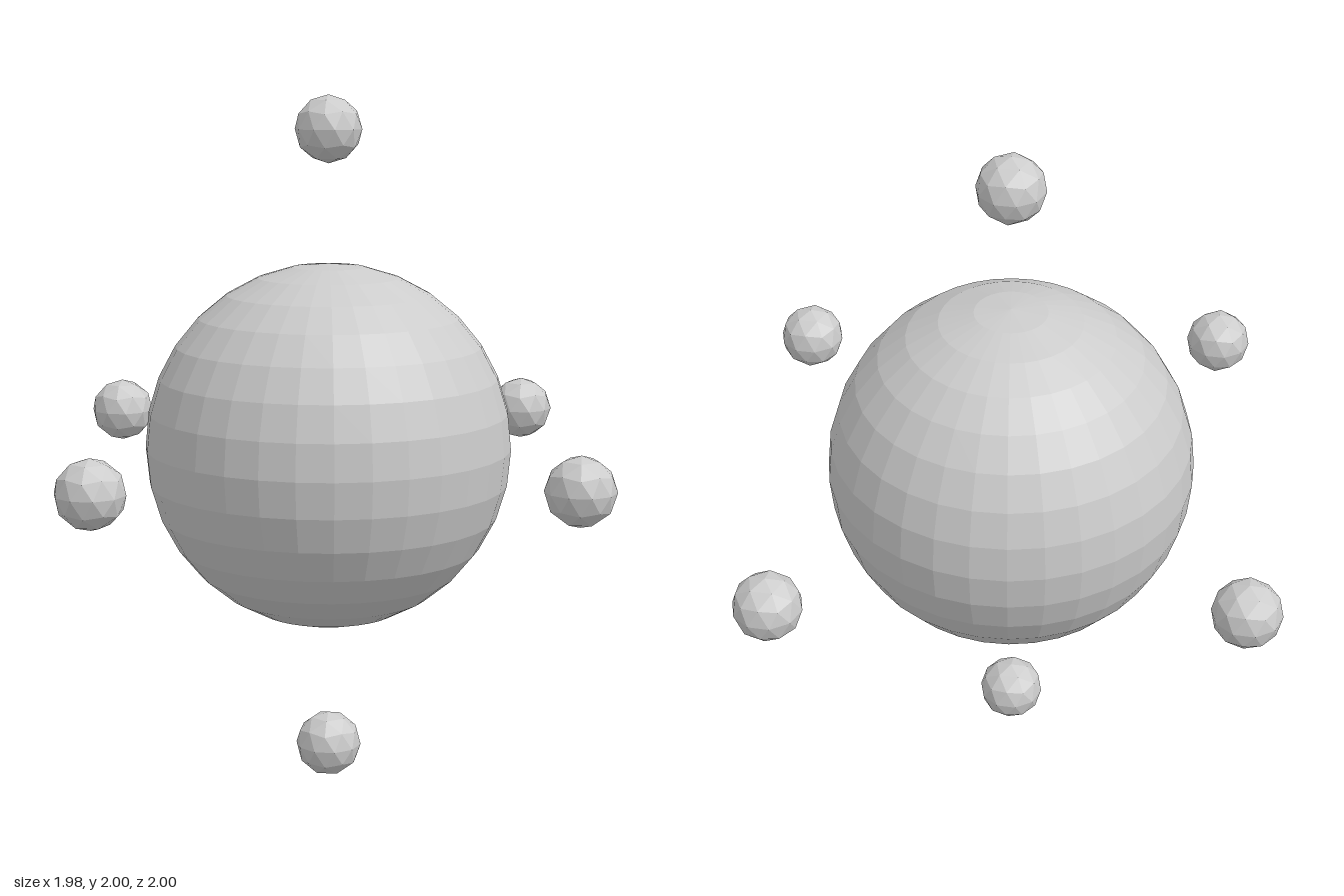
import * as THREE from 'three';

export function createModel() {
  const group = new THREE.Group();
  const material = new THREE.MeshStandardMaterial({ color: 0xcccccc, flatShading: true });

  // Faceted central ball
  const core = new THREE.Mesh(new THREE.SphereGeometry(0.528, 32, 16), material);
  core.name = 'centralSphere';
  core.position.y = 0.998;
  group.add(core);

  // Small low-poly balls, turned so that one corner points straight up
  const smallRadius = 0.096;
  const ballGeometry = new THREE.IcosahedronGeometry(smallRadius, 1);
  ballGeometry.rotateZ(-Math.atan(1 / ((1 + Math.sqrt(5)) / 2)));

  // One satellite on each side of the three axes
  const satellites = {
    top: [0, 2 - smallRadius, 0],
    bottom: [0, smallRadius, 0],
    left: [0.898, 0.995, 0],
    right: [-0.898, 0.995, 0],
    front: [0, 0.995, 0.902],
    back: [0, 0.995, -0.902],
  };
  for (const [side, position] of Object.entries(satellites)) {
    const ball = new THREE.Mesh(ballGeometry, material);
    ball.name = `${side}Satellite`;
    ball.position.set(...position);
    group.add(ball);
  }

  return group;
}
